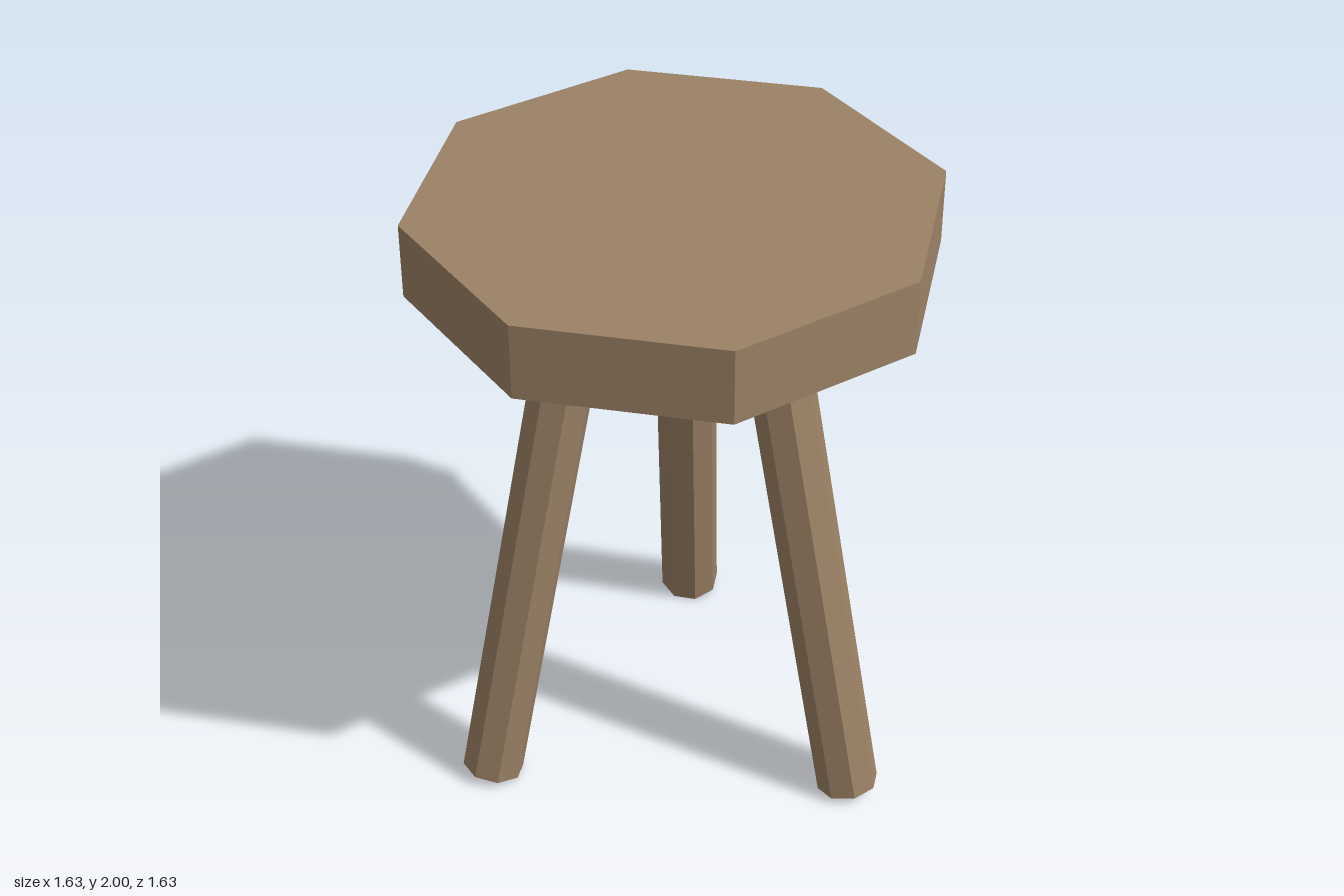
import * as THREE from 'three';

export function createModel() {
  const model = new THREE.Group();
  model.name = 'stool';

  const wood = new THREE.MeshStandardMaterial({ color: 0x9c8266, flatShading: true });
  wood.name = 'wood';

  // Octagonal seat slab with corners on the axes
  const seat = new THREE.Mesh(new THREE.CylinderGeometry(0.814, 0.814, 0.24, 8), wood);
  seat.name = 'seat';
  seat.position.y = 1.88;
  model.add(seat);

  // Three splayed octagonal legs, running up into the seat
  const up = new THREE.Vector3(0, 1, 0);
  const ringPoint = (angle, radius, y) =>
    new THREE.Vector3(Math.cos(angle) * radius, y, Math.sin(angle) * radius);

  ['leftLeg', 'frontRightLeg', 'backRightLeg'].forEach((name, i) => {
    const angle = (i * Math.PI * 2) / 3;
    const foot = ringPoint(angle, 0.673, 0.021);
    const top = ringPoint(angle, 0.309, 1.83);
    const axis = top.clone().sub(foot);
    const leg = new THREE.Mesh(new THREE.CylinderGeometry(0.1, 0.1, axis.length(), 8), wood);
    leg.name = name;
    leg.position.copy(foot).add(top).multiplyScalar(0.5);
    leg.quaternion.setFromUnitVectors(up, axis.normalize());
    model.add(leg);
  });

  return model;
}
